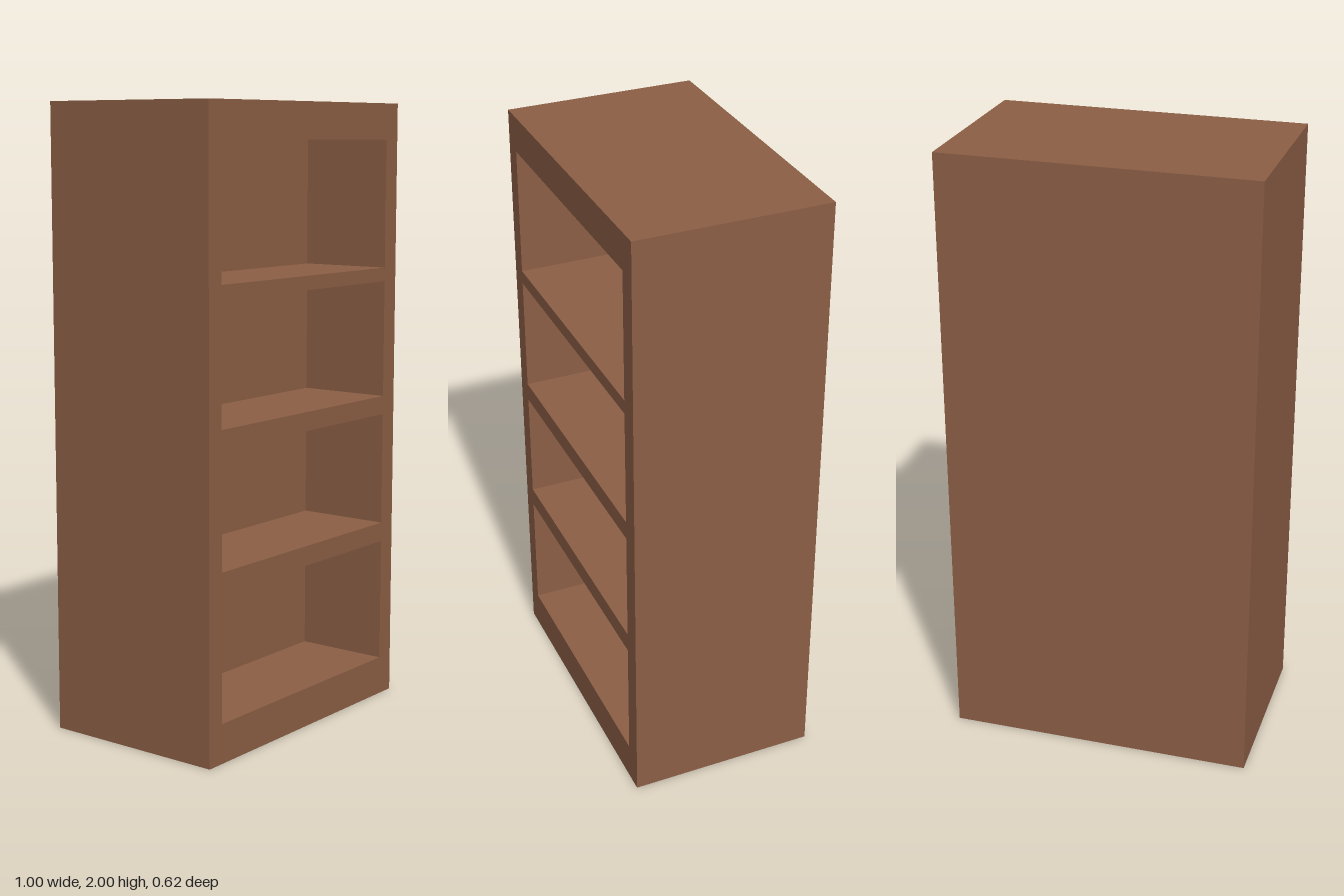
import * as THREE from 'three';

const WIDTH = 1, HEIGHT = 2, DEPTH = 0.62;
const RECESS = 0.315; // depth of the open compartments
const LEFT = -0.44, RIGHT = 0.435;
// bottom and top of each compartment
const COMPARTMENTS = [[0.127, 0.536], [0.6, 0.973], [1.034, 1.419], [1.464, 1.883]];

function rectangle(path, x0, y0, x1, y1) {
  path.moveTo(x0, y0);
  path.lineTo(x1, y0);
  path.lineTo(x1, y1);
  path.lineTo(x0, y1);
  path.closePath();
  return path;
}

export function createModel() {
  const group = new THREE.Group();
  group.name = 'bookcase';
  const wood = new THREE.MeshStandardMaterial({ color: 0x8b5e45 });

  // front frame: sides, top, plinth and shelves around the openings
  const outline = rectangle(new THREE.Shape(), -WIDTH / 2, 0, WIDTH / 2, HEIGHT);
  for (const [bottom, top] of COMPARTMENTS) {
    outline.holes.push(rectangle(new THREE.Path(), LEFT, bottom, RIGHT, top));
  }
  const frame = new THREE.Mesh(
    new THREE.ExtrudeGeometry(outline, { depth: RECESS, bevelEnabled: false }), wood);
  frame.name = 'shelfFrame';
  frame.position.z = DEPTH / 2 - RECESS;
  group.add(frame);

  // solid rear half that closes the compartments
  const backDepth = DEPTH - RECESS;
  const back = new THREE.Mesh(new THREE.BoxGeometry(WIDTH, HEIGHT, backDepth), wood);
  back.name = 'backBlock';
  back.position.set(0, HEIGHT / 2, -DEPTH / 2 + backDepth / 2);
  group.add(back);

  return group;
}
